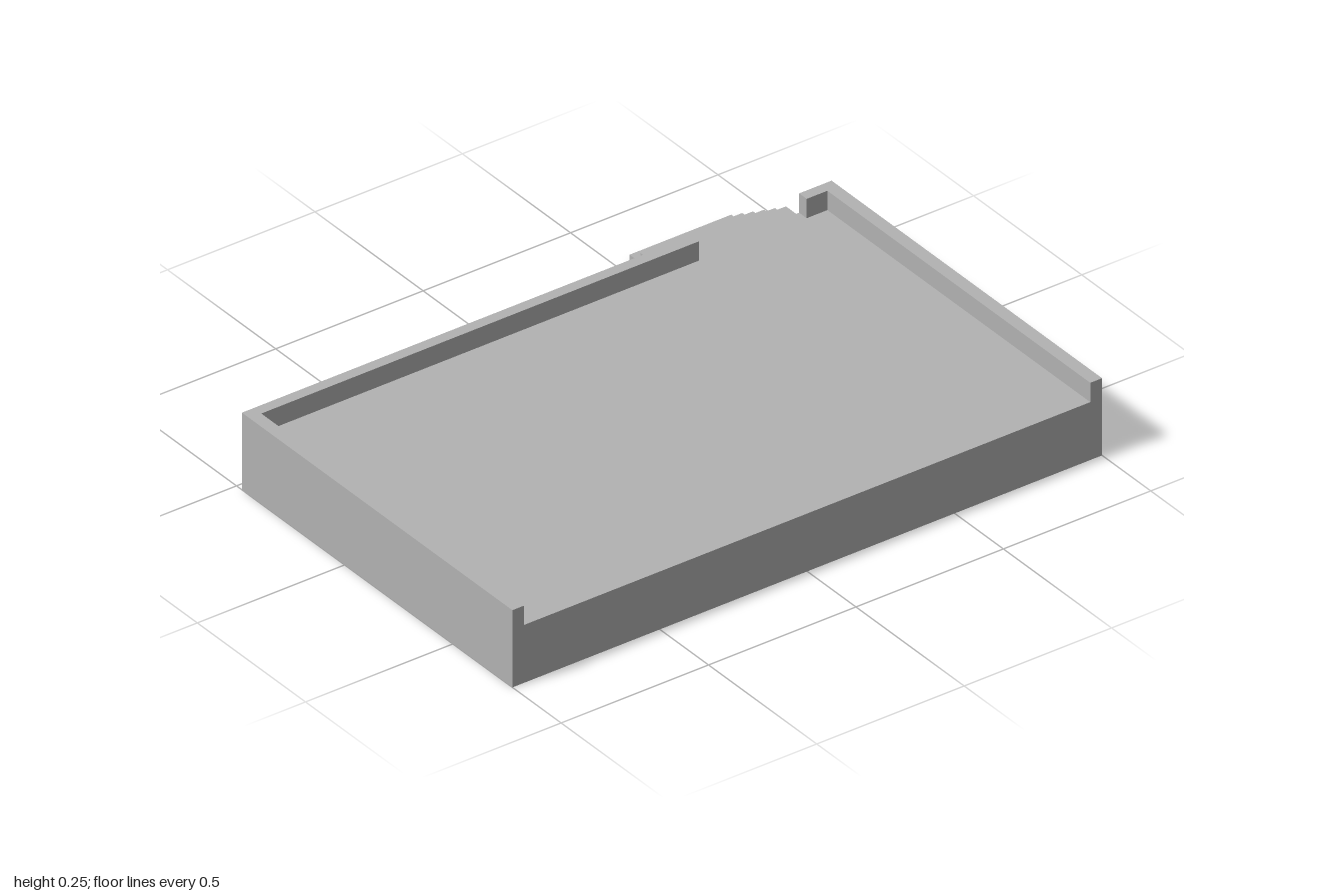
import * as THREE from 'three';

export function createModel() {
  const group = new THREE.Group();
  const concrete = new THREE.MeshStandardMaterial({ color: 0xb2b2b2 });
  concrete.name = 'concreteGrey';

  const back = -0.475, front = 0.775, floor = 0.1875, top = 0.25, wall = 0.04;

  // Box given by its low and high corners
  function block(name, x0, x1, y0, y1, z0, z1) {
    const mesh = new THREE.Mesh(new THREE.BoxGeometry(x1 - x0, y1 - y0, z1 - z0), concrete);
    mesh.name = name;
    mesh.position.set((x0 + x1) / 2, (y0 + y1) / 2, (z0 + z1) / 2);
    group.add(mesh);
  }

  // Platform
  block('platform', -1, 1, 0, floor, back, front);

  // Low parapets: both sides, and the back with a gap for the stairs
  block('rightParapet', -1, -1 + wall, floor, top, back, front);
  block('leftParapet', 1 - wall, 1, floor, top, back, front);
  block('backParapetLong', -1 + wall, 0.525, floor, top, back, back + 0.035);
  block('backParapetShort', 0.89, 1 - wall, floor, top, back, back + 0.035);

  // Stairs: stepped side profile (x = distance out from the back wall)
  const steps = 6, tread = 0.0505, run = front + back;
  const rise = floor / steps;
  const profile = new THREE.Shape();
  profile.moveTo(0, 0);
  profile.lineTo(run, 0);
  for (let i = 0; i < steps; i++) {
    profile.lineTo(run - i * tread, (i + 1) * rise);
    profile.lineTo(i === steps - 1 ? 0 : run - (i + 1) * tread, (i + 1) * rise);
  }
  profile.closePath();
  const stairs = new THREE.Mesh(
    new THREE.ExtrudeGeometry(profile, { depth: 0.345, bevelEnabled: false }), concrete);
  stairs.name = 'stairs';
  stairs.rotation.y = Math.PI / 2;
  stairs.position.set(0.535, 0, back);
  group.add(stairs);

  return group;
}
